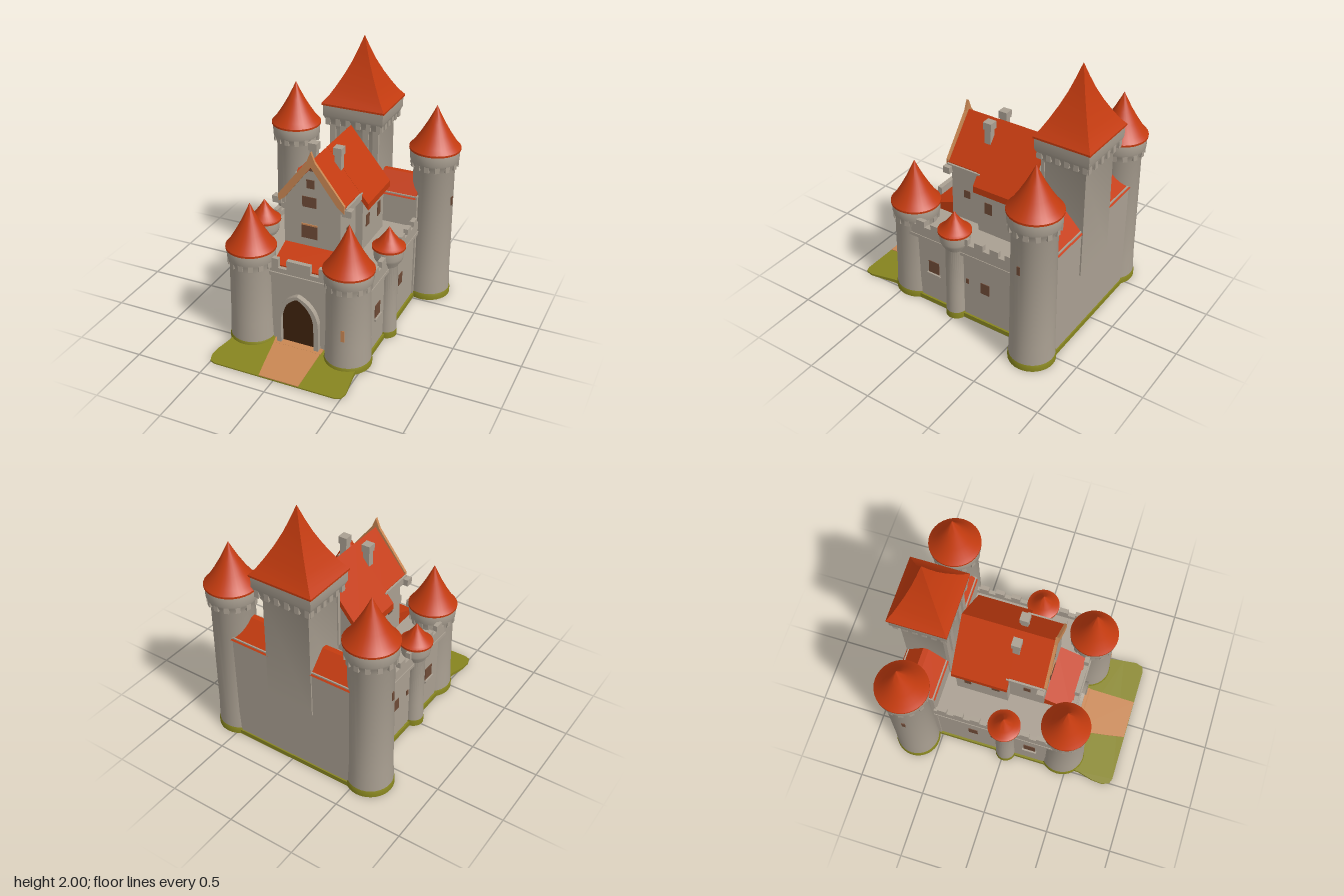
import * as THREE from 'three';
import { toCreasedNormals } from 'three/addons/utils/BufferGeometryUtils.js';

const material = (name, color) => {
  const m = new THREE.MeshStandardMaterial({ color });
  m.name = name;
  return m;
};

export function createModel() {
  const castle = new THREE.Group();
  castle.name = 'castle';
  const stone = material('stone', 0xaaa092);
  const tile = material('roofTile', 0xc43b0f);
  const grass = material('grass', 0x87851f);
  const sand = material('sand', 0xc98753);
  const doorWood = material('doorWood', 0x3f220e);
  const glass = material('windowBrown', 0x6e4a36);

  const add = (name, geo, mat, x = 0, y = 0, z = 0, parent = castle) => {
    const mesh = new THREE.Mesh(geo, mat);
    mesh.name = name;
    mesh.position.set(x, y, z);
    parent.add(mesh);
    return mesh;
  };
  // box given by its ranges
  const block = (name, mat, x0, x1, y0, y1, z0, z1) =>
    add(name, new THREE.BoxGeometry(x1 - x0, y1 - y0, z1 - z0), mat, (x0 + x1) / 2, (y0 + y1) / 2, (z0 + z1) / 2);
  const lathe = (pts, seg = 32) =>
    toCreasedNormals(new THREE.LatheGeometry(pts.map(p => new THREE.Vector2(...p)), seg), 0.6);
  const shapeOf = pts => new THREE.Shape(pts.map(p => new THREE.Vector2(...p)));
  const extrude = (shape, depth) => new THREE.ExtrudeGeometry(shape, { depth, bevelEnabled: false, curveSegments: 10 });

  // round tower with flared head, corbels, concave roof and grassy foot
  function roundTower(name, x, z, r, headR, roofR, headY, roofY, topY, corbels) {
    const g = new THREE.Group();
    g.name = name;
    g.position.set(x, 0, z);
    castle.add(g);
    add('towerBody', lathe([[r * 1.04, 0], [r * 1.03, 0.08], [r, 0.2], [r * 0.97, headY - 0.03], [headR * 0.96, headY + 0.02],
      [headR, headY + 0.04], [headR, roofY - 0.02], [headR * 0.97, roofY + 0.01]]), stone, 0, 0, 0, g);
    const h = topY - roofY;
    add('towerRoof', lathe([[0, roofY - 0.005], [roofR, roofY - 0.005], [roofR, roofY + 0.01], [roofR * 0.84, roofY + h * 0.13],
      [roofR * 0.58, roofY + h * 0.36], [roofR * 0.33, roofY + h * 0.61], [roofR * 0.13, roofY + h * 0.84], [0, topY]]), tile, 0, 0, 0, g);
    add('grassFoot', lathe([[0, 0], [r * 1.07, 0], [r * 1.07, 0.035], [r * 1.02, 0.055]]), grass, 0, 0, 0, g);
    for (let i = 0; i < corbels; i++) {
      const a = (i / corbels) * Math.PI * 2;
      const c = add('corbel', new THREE.BoxGeometry(0.035, 0.05, 0.035), stone,
        Math.sin(a) * (headR - 0.022), headY + 0.01, Math.cos(a) * (headR - 0.022), g);
      c.rotation.y = a;
    }
  }
  for (const s of [-1, 1]) {
    roundTower('frontTower', s * 0.372, 0.44, 0.16, 0.172, 0.18, 0.645, 0.755, 1.09, 14);
    roundTower('backTower', s * 0.565, -0.68, 0.158, 0.182, 0.19, 1.1, 1.22, 1.55, 14);
    roundTower('sideTurret', s * 0.49, 0.012, 0.072, 0.106, 0.12, 0.62, 0.73, 0.89, 0);
  }

  // curtain walls and rear range
  block('courtyardBody', stone, -0.49, 0.49, 0.01, 0.62, -0.6, 0.45);
  block('rearRange', stone, -0.5, 0.5, 0.01, 0.87, -0.81, -0.51);
  block('grassBase', grass, -0.505, 0.505, 0, 0.035, -0.82, 0.45);
  for (const s of [-1, 1]) {
    const wall = (name, w, y0, y1, z0, z1) => block(name, stone, s * 0.5 - w / 2, s * 0.5 + w / 2, y0, y1, z0, z1);
    wall('wallLedge', 0.04, 0.56, 0.585, -0.52, 0.42);
    wall('parapet', 0.03, 0.58, 0.665, -0.52, 0.42);
    for (let i = 0; i < 7; i++) wall('merlon', 0.034, 0.66, 0.71, -0.49 + i * 0.125, -0.42 + i * 0.125);
    // gabled roof over each end of the rear range
    const roof = extrude(shapeOf([[-0.16, 0.85], [0.16, 0.85], [0.02, 0.99], [-0.02, 0.99]]), 0.34);
    add('rearRoof', roof, tile, s > 0 ? 0.15 : -0.49, 0, -0.66).rotation.y = Math.PI / 2;
  }

  // square keep tower
  const squareTower = (name, mat, pts) => {
    const geo = new THREE.LatheGeometry(pts.map(([r, y]) => new THREE.Vector2(r * Math.SQRT2, y)), 4);
    geo.rotateY(Math.PI / 4);
    geo.scale(1, 1, 0.87);
    return add(name, toCreasedNormals(geo, 0.6), mat, 0, 0, -0.66);
  };
  squareTower('keepTower', stone, [[0.185, 0.5], [0.182, 1.3], [0.222, 1.39], [0.235, 1.42], [0.235, 1.505]]);
  squareTower('keepRoof', tile, [[0, 1.498], [0.245, 1.498], [0.245, 1.512], [0.205, 1.56], [0.162, 1.63], [0.115, 1.715],
    [0.07, 1.81], [0.035, 1.9], [0, 2]]);
  for (let i = 0; i < 6; i++) {
    const t = -1 + (i * 2) / 5;
    for (const s of [-1, 1]) {
      add('keepCorbel', new THREE.BoxGeometry(0.035, 0.06, 0.035), stone, t * 0.2, 1.375, -0.66 + s * 0.18);
      add('keepCorbel', new THREE.BoxGeometry(0.035, 0.06, 0.035), stone, s * 0.205, 1.375, -0.66 + t * 0.17);
    }
  }
  for (const x of [-0.17, -0.09, 0.09, 0.17]) block('keepButtress', stone, x - 0.022, x + 0.022, 0.9, 1.38, -0.51, -0.485);

  // great hall: gabled walls with a wider rear half
  const hall = (w, eave, peak) => shapeOf([[-w, 0.5], [w, 0.5], [w, eave], [0, peak], [-w, eave]]);
  add('hallFront', extrude(hall(0.215, 1.09, 1.36), 0.4), stone, 0, 0, -0.17);
  add('hallRear', extrude(hall(0.27, 1.02, 1.35), 0.39), stone, 0, 0, -0.42);
  const chevron = (w, top, t) => {
    const y = top - w * 1.22;
    return shapeOf([[0, top], [-w, y], [-w, y - t], [0, top - t], [w, y - t], [w, y]]);
  };
  add('hallRoofFront', extrude(chevron(0.25, 1.39, 0.05), 0.3), tile, 0, 0, -0.06);
  add('hallRoofRear', extrude(chevron(0.315, 1.392, 0.05), 0.41), tile, 0, 0, -0.43);
  add('gableTrim', extrude(shapeOf([[0, 1.46], [-0.03, 1.385], [-0.25, 1.1], [-0.25, 1.04], [-0.2, 1.08], [0, 1.345],
    [0.2, 1.08], [0.25, 1.04], [0.25, 1.1], [0.03, 1.385]]), 0.02), sand, 0, 0, 0.23);
  for (const s of [-1, 1]) {
    block('eaveCornice', stone, s * 0.235 - 0.03, s * 0.235 + 0.03, 1.03, 1.08, -0.04, 0.235);
    block('gableFoot', stone, s * 0.265 - 0.035, s * 0.265 + 0.035, 1.02, 1.07, 0.19, 0.245);
    block('chimney', stone, s * 0.095 - 0.025, s * 0.095 + 0.025, 1.2, 1.37, -0.035, 0.015);
    block('chimneyCap', stone, s * 0.095 - 0.033, s * 0.095 + 0.033, 1.355, 1.41, -0.043, 0.023);
  }

  // gatehouse: sloped roof, parapet, pointed arch and door
  const lean = extrude(shapeOf([[-0.43, 0.6], [-0.2, 0.6], [-0.2, 0.735], [-0.43, 0.645]]), 0.42);
  add('gateRoof', lean, tile, -0.21, 0, 0).rotation.y = Math.PI / 2;
  block('gateLedge', stone, -0.23, 0.23, 0.57, 0.6, 0.42, 0.47);
  block('gateParapet', stone, -0.23, 0.23, 0.59, 0.635, 0.425, 0.46);
  for (const [x, w] of [[-0.19, 0.035], [0, 0.09], [0.19, 0.035]]) block('gateMerlon', stone, x - w, x + w, 0.62, 0.705, 0.425, 0.46);
  const arch = (path, w, spring, top) => {
    path.moveTo(-w, 0.02);
    path.lineTo(w, 0.02);
    path.lineTo(w, spring);
    path.quadraticCurveTo(w * 0.85, top - 0.05, 0, top);
    path.quadraticCurveTo(-w * 0.85, top - 0.05, -w, spring);
    path.closePath();
    return path;
  };
  const frame = arch(new THREE.Shape(), 0.162, 0.26, 0.455);
  frame.holes.push(arch(new THREE.Path(), 0.127, 0.25, 0.43));
  add('gateFrame', extrude(frame, 0.045), stone, 0, 0, 0.445);
  add('gateDoor', extrude(arch(new THREE.Shape(), 0.13, 0.25, 0.432), 0.006), doorWood, 0, 0, 0.45);
  block('gateStep', sand, -0.17, 0.19, 0.01, 0.04, 0.44, 0.51);

  // forecourt: plan outlines extruded, then sloped down towards the front
  const ground = (name, mat, pts, lift) => {
    const geo = extrude(shapeOf(pts), 1);
    geo.rotateX(-Math.PI / 2);
    const p = geo.attributes.position;
    for (let i = 0; i < p.count; i++)
      if (p.getY(i) > 0.5) p.setY(i, lift + 0.042 - (p.getZ(i) - 0.4) * 0.07);
    geo.computeVertexNormals();
    add(name, geo, mat);
  };
  ground('lawn', grass, [[-0.48, -0.4], [-0.485, -0.6], [-0.515, -0.72], [-0.52, -0.8], [-0.5, -0.855], [-0.46, -0.87],
    [0.46, -0.87], [0.5, -0.855], [0.515, -0.8], [0.5, -0.7], [0.485, -0.6], [0.48, -0.4]], 0);
  ground('path', sand, [[-0.19, -0.45], [-0.16, -0.6], [-0.14, -0.72], [-0.11, -0.868], [0.19, -0.868], [0.185, -0.45]], 0.005);

  // windows as thin plates
  for (const [x, y, w, h] of [[-0.02, 0.835, 0.12, 0.1], [-0.02, 1.07, 0.105, 0.08], [-0.01, 1.21, 0.06, 0.065], [0, 1.325, 0.035, 0.03]])
    block('frontWindow', glass, x - w / 2, x + w / 2, y - h / 2, y + h / 2, 0.229, 0.235);
  block('windowLintel', sand, -0.08, 0.04, 0.885, 0.897, 0.229, 0.236);
  for (const s of [-1, 1]) {
    const side = (x, y, z, h, w, mat = glass) => block('sideWindow', mat, s * x - 0.004, s * x + 0.004, y - h / 2, y + h / 2, z - w / 2, z + w / 2);
    side(0.491, 0.32, 0.205, 0.1, 0.09);
    side(0.491, 0.32, -0.24, 0.09, 0.07);
    side(0.491, 0.33, -0.09, 0.04, 0.022);
    side(0.216, 0.84, 0.1, 0.06, 0.05);
    side(0.271, 0.83, -0.12, 0.09, 0.06);
    side(0.271, 0.82, -0.33, 0.11, 0.05);
    side(0.72, 0.82, -0.66, 0.065, 0.025);
    block('windowSill', stone, s * 0.495 - 0.012, s * 0.495 + 0.012, 0.25, 0.268, 0.15, 0.26);
  }
  block('towerSlit', sand, 0.385, 0.41, 0.265, 0.355, 0.59, 0.599);
  return castle;
}
